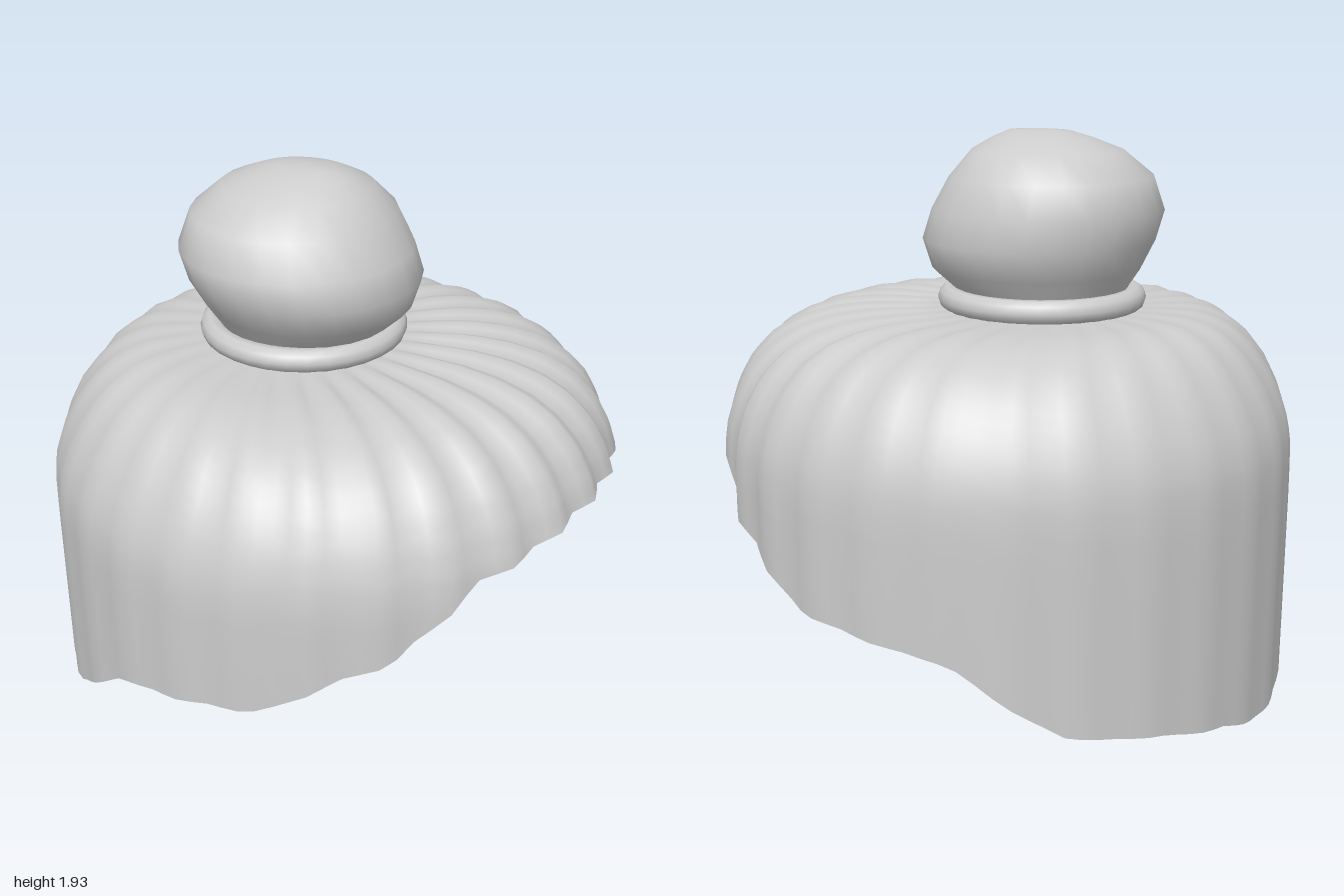
import * as THREE from 'three';
import { toCreasedNormals } from 'three/addons/utils/BufferGeometryUtils.js';

// Skin a grid of rings, top ring first; point(i, a) returns [x, y, z]
function loft(rows, cols, point, crease) {
  const pos = [], idx = [];
  for (let i = 0; i < rows; i++) {
    for (let j = 0; j < cols; j++) pos.push(...point(i, (j / cols) * Math.PI * 2));
  }
  for (let i = 0; i < rows - 1; i++) {
    for (let j = 0; j < cols; j++) {
      const k = (j + 1) % cols;
      const a = i * cols + j, b = (i + 1) * cols + j, c = i * cols + k, d = (i + 1) * cols + k;
      idx.push(a, c, b, c, d, b);
    }
  }
  const g = new THREE.BufferGeometry();
  g.setAttribute('position', new THREE.Float32BufferAttribute(pos, 3));
  g.setIndex(idx);
  return toCreasedNormals(g, crease);
}

// Linear lookup in a list of [key, value] pairs with rising keys
function lookup(table, key) {
  if (key <= table[0][0]) return table[0][1];
  for (let i = 1; i < table.length; i++) {
    const [k0, v0] = table[i - 1], [k1, v1] = table[i];
    if (key <= k1) return v0 + ((v1 - v0) * (key - k0)) / (k1 - k0);
  }
  return table[table.length - 1][1];
}

const NECK_X = -0.125;

// Hem height along x: low at the back of the head, high over the face opening
const HEM = [[-0.99, 0], [-0.93, 0.07], [-0.8, 0.13], [-0.57, 0.18], [-0.4, 0.3], [-0.25, 0.42], [0, 0.46],
  [0.3, 0.5], [0.5, 0.63], [0.65, 0.7], [0.75, 0.82], [0.82, 0.92], [0.9, 0.95], [0.98, 0.99]];

// Dome profile as radius and height, from the neck of the bun downwards
const DOME = [[0.29, 1.338], [0.42, 1.337], [0.55, 1.334], [0.65, 1.318], [0.74, 1.285], [0.82, 1.23],
  [0.89, 1.15], [0.94, 1.06], [0.97, 0.97], [0.983, 0.88], [0.985, 0.7], [0.985, 0.45], [0.985, 0.2], [0.985, 0]];
const RADIUS = DOME.map((p, i) => [i, p[0]]);
const HEIGHT = DOME.map((p, i) => [i, p[1]]);
const STEP_AT = DOME.map((p, i) => [p[1], i]).reverse();

// Outer skin, hem edge and inner skin form one closed strip
const SKIN_ROWS = 24, RIBS = 28;
function shellPoint(i, a) {
  const inner = i >= SKIN_ROWS;
  const row = i === SKIN_ROWS * 2 ? 0 : inner ? SKIN_ROWS * 2 - 1 - i : i;
  const isInner = inner && i !== SKIN_ROWS * 2;
  const hem = lookup(HEM, 0.985 * Math.cos(a));
  const p = (row / (SKIN_ROWS - 1)) * lookup(STEP_AT, hem);
  let r = lookup(RADIUS, p), y = lookup(HEIGHT, p);
  const flat = 1 - THREE.MathUtils.smoothstep(r, 0.29, 0.95);
  const front = 0.5 + 0.5 * Math.cos(a);
  // Combed ribs, strongest over the face
  const rib = Math.cos(a * RIBS) * (0.004 + 0.011 * front * front);
  if (isInner) {
    r -= 0.035 * (1 - flat);
    y -= 0.035 * THREE.MathUtils.smoothstep(y, 0.9, 1.25);
  } else {
    r += rib * (1 - flat);
    y += rib * 0.8 * THREE.MathUtils.smoothstep(y, 1.0, 1.25) * THREE.MathUtils.smoothstep(r, 0.29, 0.5);
  }
  return [NECK_X * flat + r * Math.cos(a), y, r * Math.sin(a)];
}

// Bun levels: y, x min, x max, z min, z max
const BUN = [
  [1.935, -0.11, -0.11, 0, 0],
  [1.928, -0.22, 0.0, -0.07, 0.08],
  [1.905, -0.3, 0.05, -0.15, 0.15],
  [1.865, -0.4, 0.12, -0.24, 0.25],
  [1.78, -0.5, 0.19, -0.345, 0.36],
  [1.67, -0.53, 0.26, -0.375, 0.425],
  [1.57, -0.505, 0.29, -0.385, 0.41],
  [1.47, -0.46, 0.255, -0.35, 0.35],
  [1.41, -0.42, 0.19, -0.29, 0.3],
  [1.36, -0.4, 0.15, -0.27, 0.27],
  [1.35, -0.125, -0.125, 0, 0],
];
function bunPoint(i, a) {
  const [y, x0, x1, z0, z1] = BUN[i];
  const c = Math.cos(a), s = Math.sin(a);
  // Left and right halves meet on a slightly shifted axis
  return [(x0 + x1) / 2 + ((x1 - x0) / 2) * c, y, (z0 + z1) / 2 + ((z1 - z0) / 2) * s];
}

export function createModel() {
  const group = new THREE.Group();
  group.name = 'hairWithBun';
  const hair = new THREE.MeshStandardMaterial({ color: 0xcccccc });
  hair.name = 'light grey hair';

  const add = (name, geometry) => {
    const mesh = new THREE.Mesh(geometry, hair);
    mesh.name = name;
    group.add(mesh);
    return mesh;
  };

  add('hairShell', loft(SKIN_ROWS * 2 + 1, RIBS * 4, shellPoint, 0.9));
  add('bun', loft(BUN.length, 24, bunPoint, 1.0));

  // Hair tie around the base of the bun
  const tie = add('hairTie', new THREE.TorusGeometry(0.315, 0.042, 10, 32));
  tie.rotation.x = Math.PI / 2;
  tie.position.set(NECK_X, 1.37, 0);

  return group;
}
